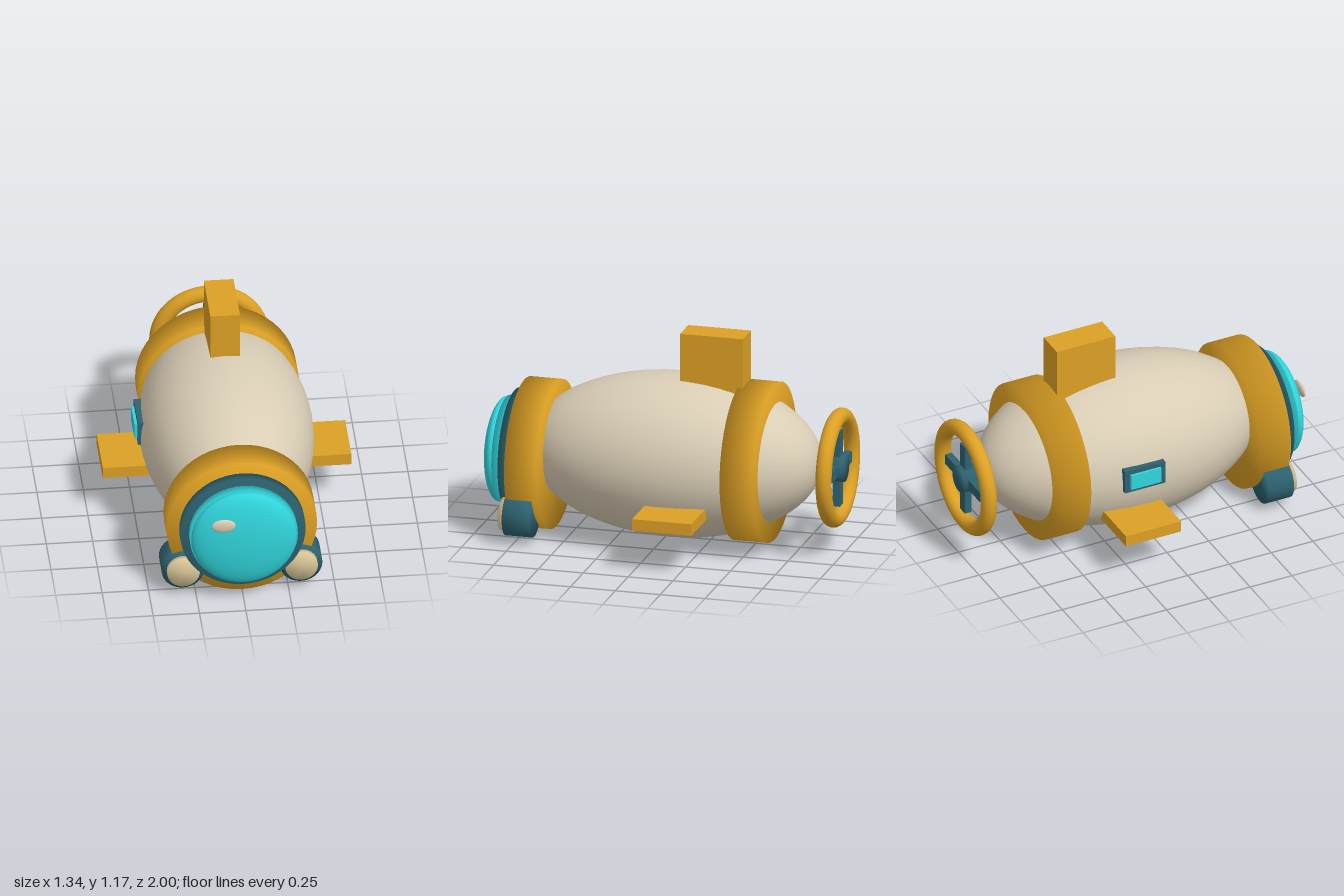
import * as THREE from 'three';
import { mergeVertices } from 'three/addons/utils/BufferGeometryUtils.js';

const paint = (name, color) => {
  const m = new THREE.MeshStandardMaterial({ color });
  m.name = name;
  return m;
};

// Disc or drum along z whose normals run smoothly over the rim
function drumGeometry(radius, length) {
  let g = new THREE.CylinderGeometry(radius, radius, length, 48);
  g.rotateX(Math.PI / 2);
  g.deleteAttribute('normal');
  g.deleteAttribute('uv');
  g = mergeVertices(g);
  g.computeVertexNormals();
  return g;
}

export function createModel() {
  const cream = paint('cream', 0xd9cdb5);
  const gold = paint('gold', 0xdca024);
  const teal = paint('darkTeal', 0x2d6270);
  const cyan = paint('cyanGlass', 0x30d5dc);
  const lamp = paint('lampGlass', 0xdcc899);

  const model = new THREE.Group();
  model.name = 'submarine';

  const add = (name, geometry, material, x, y, z, parent = model) => {
    const mesh = new THREE.Mesh(geometry, material);
    mesh.name = name;
    mesh.position.set(x, y, z);
    parent.add(mesh);
    return mesh;
  };
  const box = (name, material, x, y, z, w, h, d, parent) =>
    add(name, new THREE.BoxGeometry(w, h, d), material, x, y, z, parent);
  const drum = (name, material, x, y, z0, z1, r, parent) =>
    add(name, drumGeometry(r, z1 - z0), material, x, y, (z0 + z1) / 2, parent);
  const ellipsoid = (name, material, x, y, z, rx, ry, rz) => {
    const g = new THREE.SphereGeometry(1, 40, 28);
    g.rotateX(Math.PI / 2);
    g.scale(rx, ry, rz);
    return add(name, g, material, x, y, z);
  };

  // Hull and its two collars
  ellipsoid('hull', cream, 0, 0.467, -0.05, 0.467, 0.446, 0.81);
  drum('frontCollar', gold, 0, 0.405, 0.61, 0.79, 0.405);
  drum('rearCollar', gold, 0, 0.466, -0.605, -0.42, 0.435);

  // Nose window: frame, pane, dome and glint
  drum('noseFrame', teal, 0, 0.407, 0.78, 0.845, 0.338);
  drum('nosePane', cyan, 0, 0.41, 0.83, 0.893, 0.291);
  ellipsoid('noseDome', cyan, 0, 0.41, 0.905, 0.285, 0.285, 0.077);
  ellipsoid('glint', cream, -0.118, 0.541, 0.984, 0.065, 0.04, 0.015);

  // Fins and headlights on both sides
  for (const s of [1, -1]) {
    const side = s > 0 ? 'left' : 'right';
    box(side + 'Fin', gold, s * 0.51, 0.268, -0.165, 0.32, 0.065, 0.33);
    const light = new THREE.Group();
    light.name = side + 'Headlight';
    model.add(light);
    drum('headlightHousing', teal, s * 0.318, 0.15, 0.645, 0.795, 0.115, light);
    drum('headlightLens', lamp, s * 0.318, 0.15, 0.78, 0.825, 0.088, light);
  }
  box('topFin', gold, 0, 0.995, -0.275, 0.16, 0.35, 0.35);

  // Square window on the right side only
  box('sideWindowFrame', teal, -0.46, 0.505, -0.12, 0.04, 0.136, 0.24);
  box('sideWindowPane', cyan, -0.473, 0.504, -0.12, 0.046, 0.088, 0.18);

  // Propeller guard, hub and crossed blades
  const propeller = new THREE.Group();
  propeller.name = 'propeller';
  propeller.position.set(0, 0.467, -0.956);
  model.add(propeller);
  add('guardRing', new THREE.TorusGeometry(0.28, 0.044, 16, 48), gold, 0, 0, 0, propeller);
  drum('hub', teal, 0, 0, -0.043, 0.043, 0.075, propeller);
  box('verticalBlade', teal, 0, 0, 0, 0.06, 0.42, 0.04, propeller);
  box('horizontalBlade', teal, 0, 0, 0, 0.42, 0.06, 0.04, propeller);

  return model;
}
